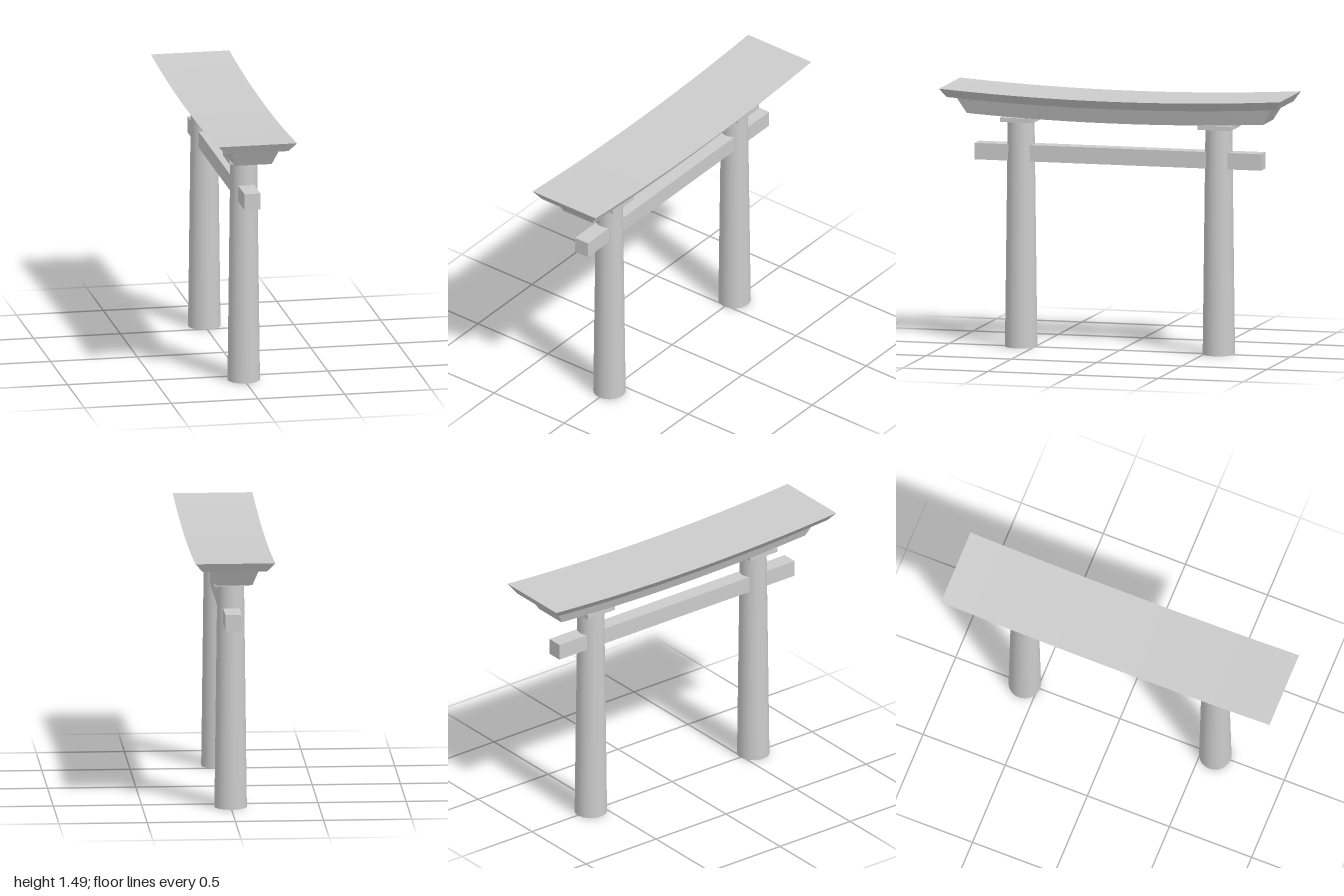
import * as THREE from 'three';

const grey = new THREE.MeshStandardMaterial({ color: 0xcccccc });
const greyDouble = new THREE.MeshStandardMaterial({ color: 0xcccccc, side: THREE.DoubleSide });

function addMesh(group, name, geometry, material = grey) {
  const mesh = new THREE.Mesh(geometry, material);
  mesh.name = name;
  group.add(mesh);
  return mesh;
}

// Beam along z that flares from bottom to top and sweeps upward at its ends
function sweptBeam(bottom, top, sweep) {
  const geometry = new THREE.BoxGeometry(2, 1, 2, 1, 1, 32);
  const pos = geometry.attributes.position;
  for (let i = 0; i < pos.count; i++) {
    const level = pos.getY(i) > 0 ? top : bottom;
    const z = pos.getZ(i) * level.halfLength;
    pos.setXYZ(i, pos.getX(i) * level.halfWidth, level.y + sweep * z * z, z);
  }
  geometry.computeVertexNormals();
  return geometry;
}

export function createModel() {
  const model = new THREE.Group();
  model.name = 'gate';

  // Tapered pillars, open at the ends, each with a square cap plate
  for (const side of [1, -1]) {
    const label = side > 0 ? 'front' : 'back';
    const pillar = addMesh(model, label + 'Pillar',
      new THREE.CylinderGeometry(0.076, 0.092, 1.3, 32, 1, true), greyDouble);
    pillar.position.set(0, 0.65, side * 0.58);

    const cap = addMesh(model, label + 'PillarCap', new THREE.BoxGeometry(0.2, 0.025, 0.195));
    cap.position.set(0, 1.305, side * 0.58);
  }

  // Straight tie beam passing through both pillars
  const tie = addMesh(model, 'tieBeam', new THREE.BoxGeometry(0.092, 0.094, 1.68));
  tie.position.y = 1.112;

  // Lower lintel resting on the caps
  addMesh(model, 'lowerLintel', sweptBeam(
    { y: 1.31, halfWidth: 0.105, halfLength: 0.87 },
    { y: 1.402, halfWidth: 0.138, halfLength: 0.925 }, 0.036));

  // Wide upper lintel forming the roof
  addMesh(model, 'upperLintel', sweptBeam(
    { y: 1.402, halfWidth: 0.182, halfLength: 0.968 },
    { y: 1.452, halfWidth: 0.226, halfLength: 1 }, 0.036));

  return model;
}
